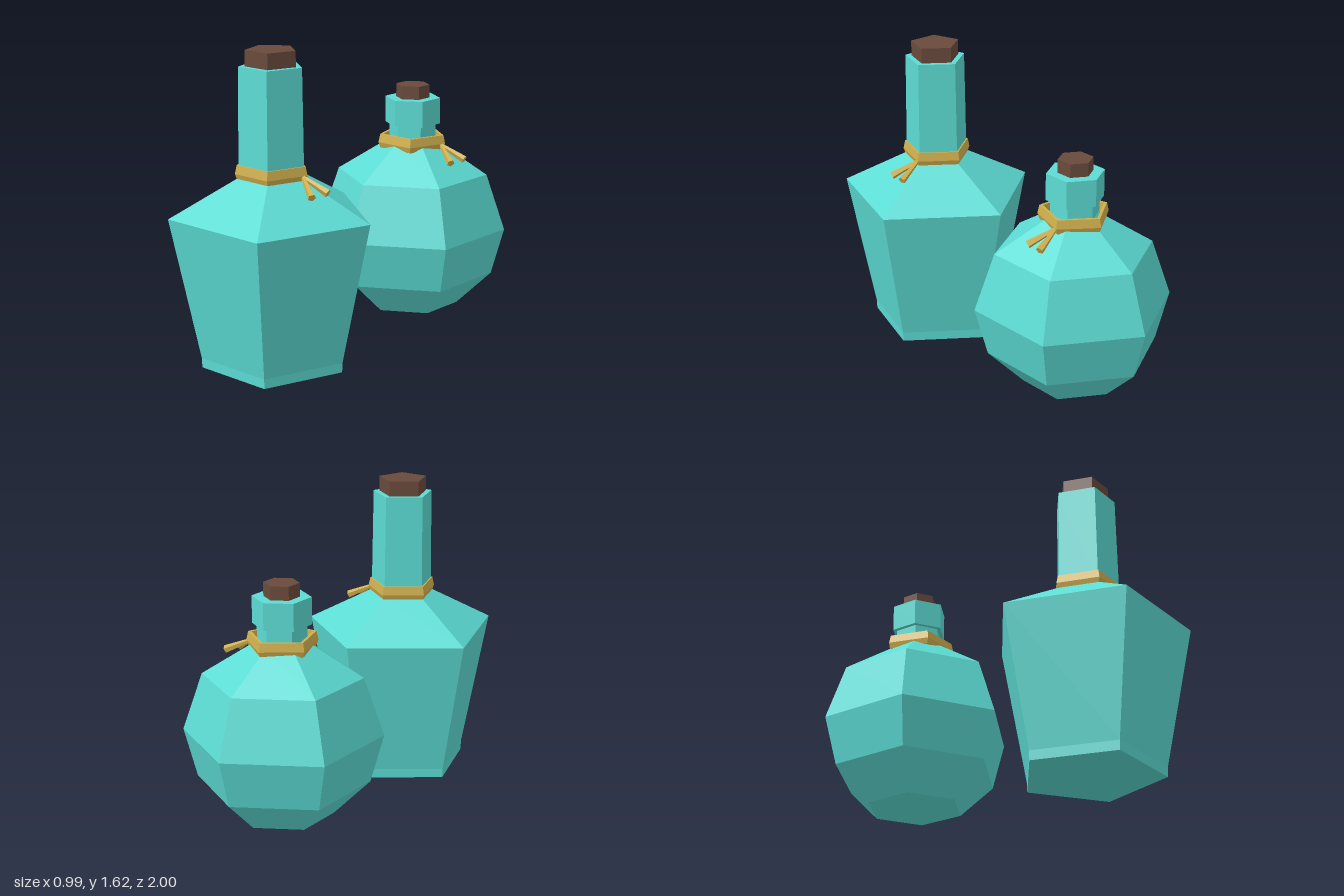
import * as THREE from 'three';

const mat = (color) => new THREE.MeshStandardMaterial({ color, flatShading: true });

// Faceted solid of revolution from a bottom-to-top profile, one corner facing the back
function turned(name, profile, sides, material) {
  const points = profile.map(([r, y]) => new THREE.Vector2(r, y));
  const mesh = new THREE.Mesh(new THREE.LatheGeometry(points, sides, Math.PI), material);
  mesh.name = name;
  return mesh;
}

// Five-sided neck cord with two flared loose ends
function makeTie(y, material) {
  const tie = new THREE.Group();
  tie.name = 'neckTie';
  tie.position.y = y;
  tie.add(turned('cord', [
    [0.155, -0.025], [0.177, -0.03], [0.188, 0], [0.178, 0.045], [0.16, 0.045], [0.155, -0.025],
  ], 5, material));
  const start = new THREE.Vector3(0.165, -0.005, -0.04);
  for (const [x, ty, z] of [[0.3, -0.07, -0.072], [0.287, -0.075, 0.028]]) {
    const dir = new THREE.Vector3(x, ty, z).sub(start);
    const end = new THREE.Mesh(new THREE.CylinderGeometry(0.021, 0.01, dir.length(), 5), material);
    end.name = 'cordEnd';
    end.position.copy(start).addScaledVector(dir, 0.5);
    end.quaternion.setFromUnitVectors(new THREE.Vector3(0, 1, 0), dir.normalize());
    tie.add(end);
  }
  return tie;
}

function makeBottle({ name, z, sides, glass, cork, tieY }, materials) {
  const bottle = new THREE.Group();
  bottle.name = name;
  bottle.position.z = z;
  bottle.add(
    turned('glassBody', glass, sides, materials.glass),
    turned('cork', cork, sides, materials.cork),
    makeTie(tieY, materials.cord),
  );
  return bottle;
}

export function createModel() {
  const model = new THREE.Group();
  model.name = 'bottles';
  const materials = { glass: mat(0x5cdcd4), cork: mat(0x6a4a3c), cord: mat(0xd0b04e) };

  // Tall five-sided bottle in front
  model.add(makeBottle({
    name: 'tallBottle', z: 0.58, sides: 5, tieY: 1.01,
    glass: [[0, 0.02], [0.37, 0.02], [0.372, 0.07], [0.52, 0.8], [0.17, 0.99], [0.163, 1.54], [0.125, 1.54]],
    cork: [[0.13, 1.5], [0.13, 1.62], [0, 1.62]],
  }, materials));

  // Round six-sided bottle behind
  model.add(makeBottle({
    name: 'roundBottle', z: -0.495, sides: 6, tieY: 0.98,
    glass: [[0, 0.005], [0.255, 0.08], [0.44, 0.26], [0.507, 0.51], [0.405, 0.81], [0.14, 0.98],
      [0.125, 1.0], [0.125, 1.08], [0.148, 1.08], [0.148, 1.22], [0.085, 1.22]],
    cork: [[0.09, 1.18], [0.09, 1.29], [0, 1.29]],
  }, materials));

  return model;
}
